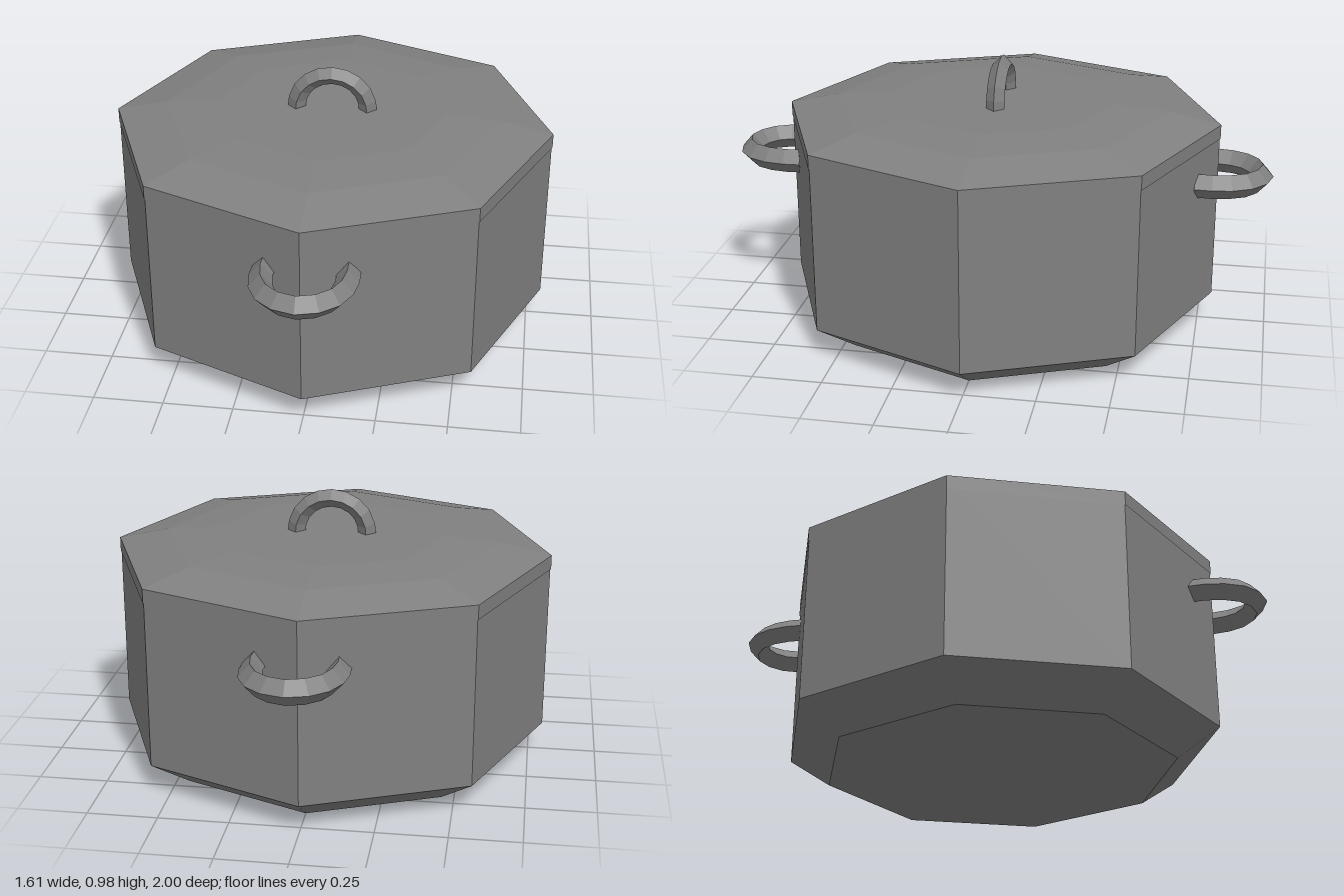
import * as THREE from 'three';

const SIDES = 8;

export function createModel() {
  const model = new THREE.Group();
  const material = new THREE.MeshStandardMaterial({
    color: 0x808080, flatShading: true, side: THREE.DoubleSide,
  });

  const add = (name, geometry) => {
    const mesh = new THREE.Mesh(geometry, material);
    mesh.name = name;
    model.add(mesh);
    return mesh;
  };

  // Octagonal solid turned from [radius, height] pairs, listed bottom to top
  const octagon = (profile) => new THREE.LatheGeometry(
    profile.map(([r, y]) => new THREE.Vector2(r, y)), SIDES);

  // Low-poly loop with a diamond cross-section
  const loop = (points, radius) => new THREE.TubeGeometry(
    new THREE.CatmullRomCurve3(points), 10, radius, 4);

  // Pot with a bevelled base
  add('potBody', octagon([[0, 0], [0.645, 0], [0.8, 0.105], [0.8, 0.74]]));

  // Lid: short skirt overlapping the pot, then a shallow stepped dome
  add('lid', octagon([[0.803, 0.715], [0.803, 0.767], [0.615, 0.808], [0.42, 0.825], [0, 0.825]]));

  // Semicircular grip on the lid
  const arch = [new THREE.Vector3(0.131, 0.81, 0)];
  for (let i = 0; i <= 8; i++) {
    const a = (i / 8) * Math.PI;
    arch.push(new THREE.Vector3(0.131 * Math.cos(a), 0.825 + 0.126 * Math.sin(a), 0));
  }
  arch.push(new THREE.Vector3(-0.131, 0.81, 0));
  add('lidHandle', loop(arch, 0.033));

  // Matching side handles at front and back: [x offset, z] of half the loop
  const half = [[0.141, 0.725], [0.142, 0.81], [0.115, 0.893], [0.06, 0.943]];
  const path = [...half, [0, 0.96], ...half.map(([x, z]) => [-x, z]).reverse()];
  for (const [name, s] of [['frontHandle', 1], ['backHandle', -1]]) {
    const points = path.map(([x, z]) => new THREE.Vector3(x, 0, z * s));
    const handle = add(name, loop(points, 0.04));
    handle.scale.y = 1.12;
    handle.position.set(0.012, 0.586, 0);
  }
  return model;
}
